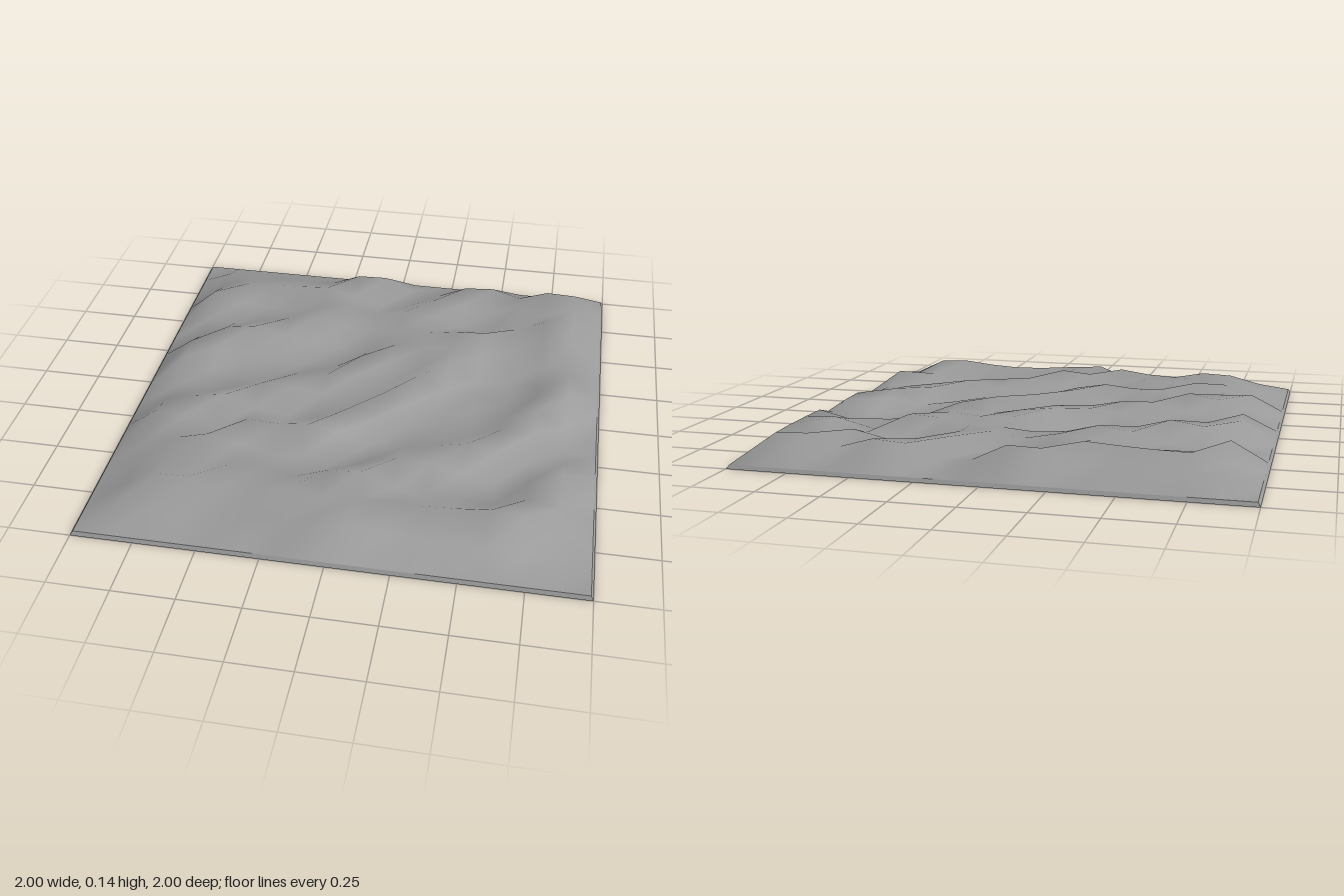
import * as THREE from 'three';

// Crest lines of the ground, as [x, z] points
const ridges = [
  [[-0.07, 0.82], [0.33, 0.77], [0.53, 0.77], [0.78, 0.67], [0.86, 0.43]],
  [[-0.27, 0.74], [-0.02, 0.63], [0.2, 0.48], [0.45, 0.33], [0.6, 0.27], [0.73, 0.07], [0.87, -0.2]],
  [[-0.7, 0.73], [-0.36, 0.63]],
  [[-0.73, 0.54], [-0.35, 0.33], [-0.08, 0.27], [0.11, 0.06], [0.26, -0.12], [0.47, -0.45]],
  [[-0.86, 0.32], [-0.63, 0.22], [-0.34, 0.02], [-0.2, 0], [-0.06, -0.14], [0.2, -0.4], [0.33, -0.47]],
  [[-0.86, -0.13], [-0.73, -0.27], [-0.58, -0.34], [-0.27, -0.54], [0.02, -0.53], [0.2, -0.66], [0.33, -0.82]],
  [[-0.87, -0.62], [-0.6, -0.74], [-0.36, -0.72], [-0.08, -0.86]],
  [[0.46, -0.86], [0.6, -0.74], [0.86, -0.42]],
  [[0.75, -0.86], [0.86, -0.84], [0.87, -0.62]],
];

// Deeper hollows: [x, z, depth]
const hollows = [
  [0.87, 0.2, 0.05], [0.87, 0.6, 0.04], [0.6, 0.53, 0.02], [0.07, 0.4, 0.02],
  [-0.47, 0.87, 0.02], [-0.2, -0.13, 0.02], [0.47, -0.2, 0.02], [0.45, -0.6, 0.02],
];

const SEGMENTS = 15;
const RIM_HEIGHT = 0.015;
const RIM_HALF = 0.99;

const ridgeLines = ridges.flatMap((points) => points.slice(1).map(([x, z], k) => new THREE.Line3(
  new THREE.Vector3(points[k][0], 0, points[k][1]),
  new THREE.Vector3(x, 0, z)
)));

// Repeatable unevenness between -1 and 1
function unevenness(x, z) {
  const s = Math.sin(x * 127.1 + z * 311.7) * 43758.5;
  return 2 * (s - Math.floor(s)) - 1;
}

// Height falls from the nearest ridge, less any hollow
function groundHeight(x, z) {
  const point = new THREE.Vector3(x, 0, z);
  const nearest = new THREE.Vector3();
  const distance = Math.min(...ridgeLines.map((line) =>
    line.closestPointToPoint(point, true, nearest).distanceTo(point)));
  let y = 0.122 - 0.066 * THREE.MathUtils.smoothstep(distance, 0.02, 0.13);
  y += 0.014 * unevenness(x, z);
  for (const [hx, hz, depth] of hollows) {
    y -= depth * Math.exp(-((x - hx) ** 2 + (z - hz) ** 2) / 0.01);
  }
  return THREE.MathUtils.clamp(y, 0.02, 0.135);
}

export function createModel() {
  const group = new THREE.Group();
  group.name = 'terrain';
  const color = 0x999999;

  // Rolling ground, sloping down to a low rim
  const groundGeometry = new THREE.PlaneGeometry(2 * RIM_HALF, 2 * RIM_HALF, SEGMENTS, SEGMENTS);
  groundGeometry.rotateX(-Math.PI / 2);
  const position = groundGeometry.attributes.position;
  for (let i = 0; i < position.count; i++) {
    const x = position.getX(i);
    const z = position.getZ(i);
    const onRim = Math.max(Math.abs(x), Math.abs(z)) > RIM_HALF - 0.01;
    position.setY(i, onRim ? RIM_HEIGHT : groundHeight(x, z));
  }
  groundGeometry.computeVertexNormals();
  const ground = new THREE.Mesh(
    groundGeometry,
    new THREE.MeshStandardMaterial({ color, side: THREE.DoubleSide })
  );
  ground.name = 'ground';

  // Thin four-sided skirt from the rim to the base
  const skirtGeometry = new THREE.CylinderGeometry(
    RIM_HALF * Math.SQRT2, Math.SQRT2, RIM_HEIGHT, 4, 1, true
  );
  skirtGeometry.rotateY(Math.PI / 4);
  skirtGeometry.translate(0, RIM_HEIGHT / 2, 0);
  const skirt = new THREE.Mesh(
    skirtGeometry,
    new THREE.MeshStandardMaterial({ color, flatShading: true, side: THREE.DoubleSide })
  );
  skirt.name = 'skirt';

  group.add(ground, skirt);
  return group;
}
